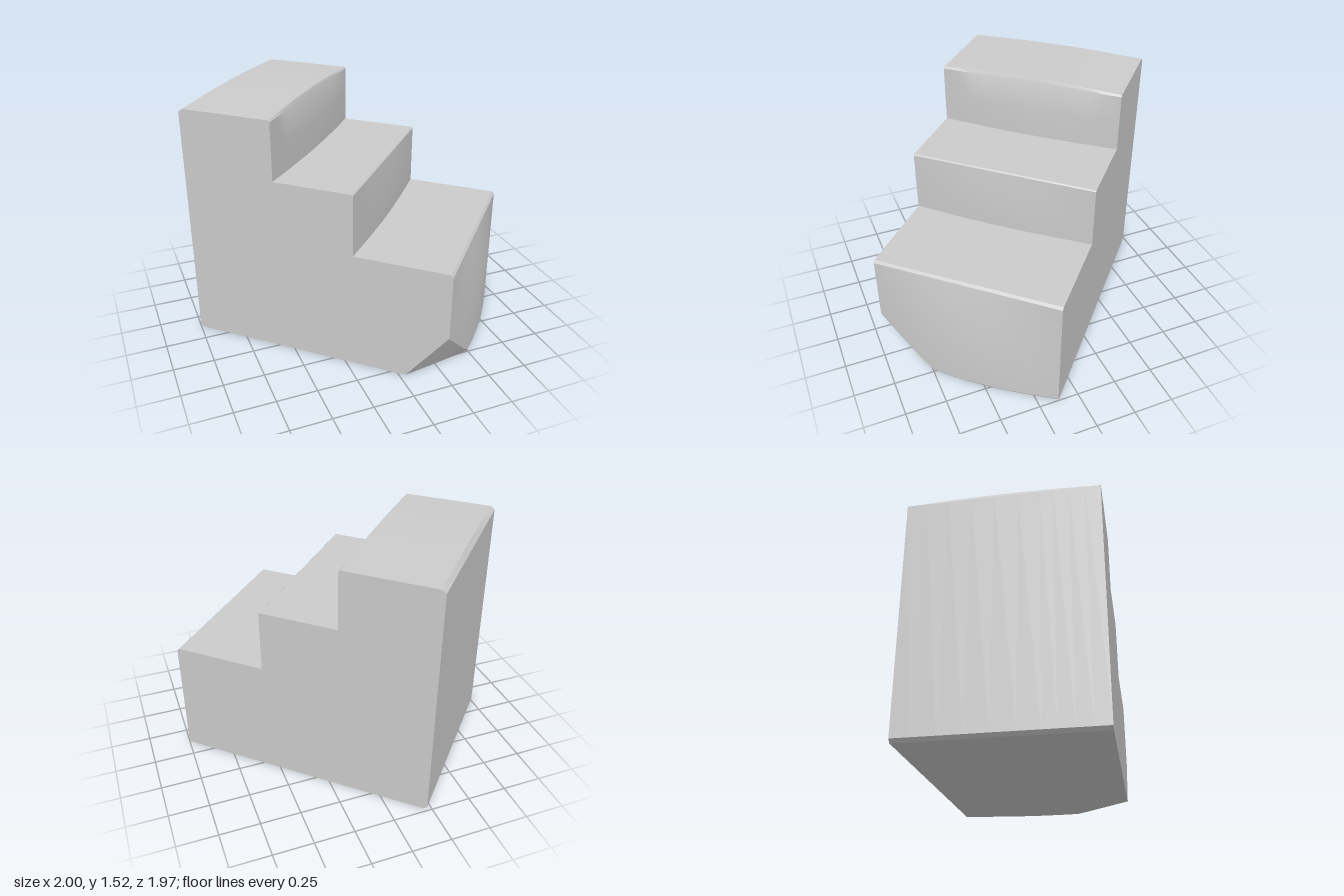
import * as THREE from 'three';
import { toCreasedNormals } from 'three/addons/utils/BufferGeometryUtils.js';

// Stair block set diagonally: u runs from back to front riser, v across the width.
const ORIGIN = [-1, -0.14], RUN = [1.22, 1.12], WIDTH = [0.78, -0.85];
const CHIP = 0.31; // share of the width taken by the cut-off lower corner

// Counter-clockwise stair outline (u, y) at a position v across the width
function outline(v) {
  const swell = Math.sin(Math.PI * v);
  const cut = Math.max(0, 1 - v / CHIP);
  const nose = 1 + 0.035 * swell;          // bowed front riser
  const chipY = Math.max(0.015, 0.33 * cut);
  const step1 = 0.645, step2 = 0.35;
  const bow = 0.012 * swell;               // slight bow of the upper risers
  const top = 1.505 + 0.015 * swell;
  return [
    [0.012, 0],
    [nose - 0.006 - 0.145 * cut, 0],
    [nose, chipY],
    [nose, 0.42],
    [1, 0.735],
    [0.992, 0.75],
    [step1 + bow, 0.75],
    [step1 + bow, 0.94],
    [step1, 1.13],
    [step1 - 0.004, 1.137],
    [step2 + bow, 1.137],
    [step2 + bow, 1.32],
    [step2, 1.495],
    [step2 - 0.006, top],
    [0.015, top],
    [0, 1.485],
    [0, 0.02],
  ];
}

function stairGeometry() {
  const rows = [0, 0.08, 0.16, 0.24, CHIP, 0.42, 0.54, 0.66, 0.78, 0.9, 1];
  const positions = [], index = [];
  const n = outline(0).length;
  for (const v of rows) {
    for (const [u, y] of outline(v)) {
      positions.push(
        ORIGIN[0] + RUN[0] * u + WIDTH[0] * v,
        y,
        ORIGIN[1] + RUN[1] * u + WIDTH[1] * v
      );
    }
  }
  // Skin between neighbouring outlines
  for (let j = 0; j < rows.length - 1; j++) {
    for (let i = 0; i < n; i++) {
      const a = j * n + i, b = j * n + (i + 1) % n;
      index.push(a, a + n, b, b, a + n, b + n);
    }
  }
  // Flat side walls
  const wall = (v, start, flip) => {
    const points = outline(v).map(([u, y]) => new THREE.Vector2(u, y));
    for (const [a, b, c] of THREE.ShapeUtils.triangulateShape(points, [])) {
      if (flip) index.push(start + a, start + c, start + b);
      else index.push(start + a, start + b, start + c);
    }
  };
  wall(0, 0, false);
  wall(1, (rows.length - 1) * n, true);

  const geometry = new THREE.BufferGeometry();
  geometry.setAttribute('position', new THREE.Float32BufferAttribute(positions, 3));
  geometry.setIndex(index);
  return toCreasedNormals(geometry, 0.5);
}

export function createModel() {
  const group = new THREE.Group();
  group.name = 'stairs';
  const block = new THREE.Mesh(
    stairGeometry(),
    new THREE.MeshStandardMaterial({ color: 0xcccccc })
  );
  block.name = 'stairBlock';
  group.add(block);
  return group;
}
